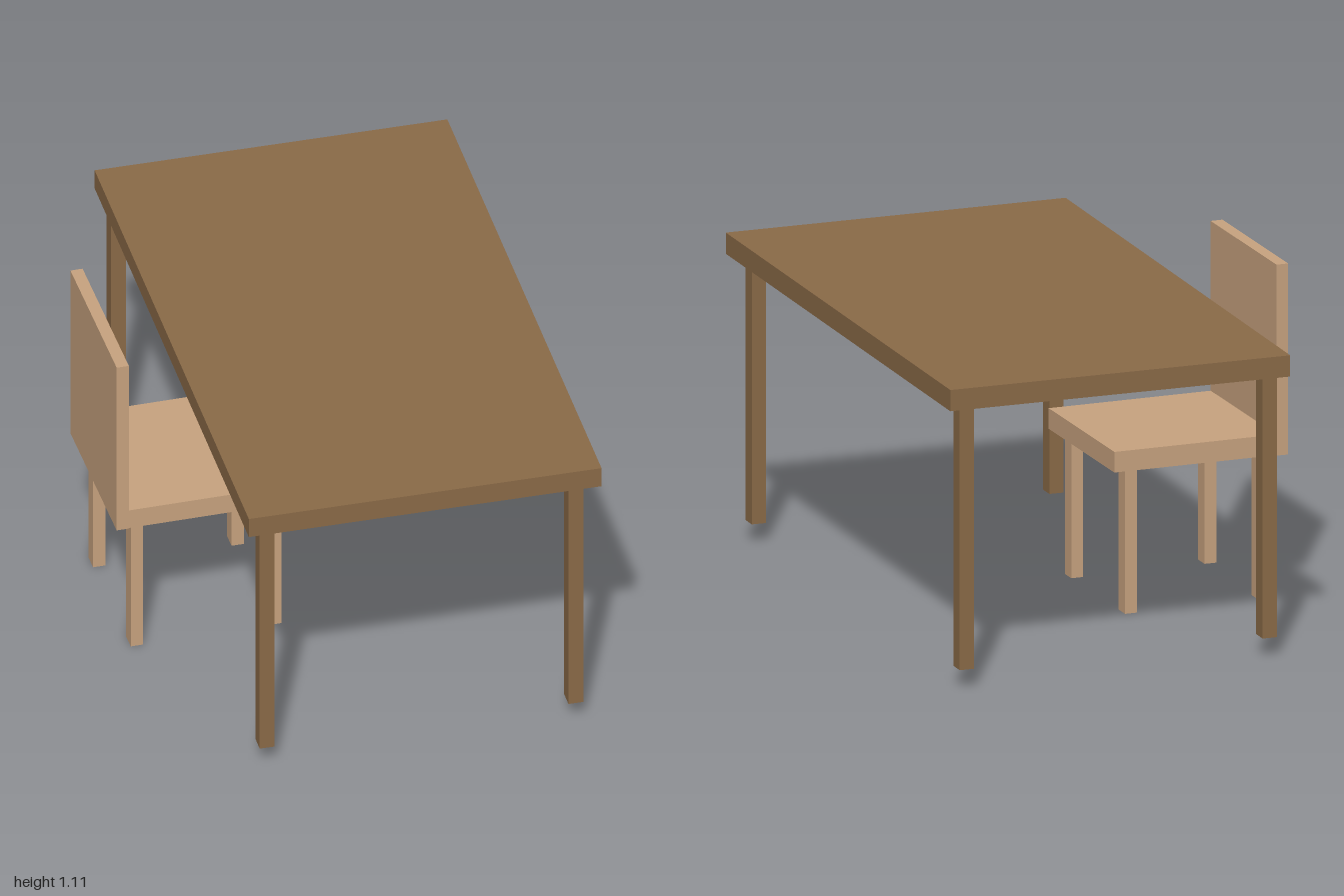
import * as THREE from 'three';

const darkWood = new THREE.MeshStandardMaterial({ color: 0x8b6b48 });
const lightWood = new THREE.MeshStandardMaterial({ color: 0xc9a480 });

// Box given by its size, centre in x and z, and bottom height
function addBox(parent, name, material, [w, h, d], x, bottom, z) {
  const mesh = new THREE.Mesh(new THREE.BoxGeometry(w, h, d), material);
  mesh.name = name;
  mesh.position.set(x, bottom + h / 2, z);
  parent.add(mesh);
}

function createTable() {
  const table = new THREE.Group();
  table.name = 'table';
  addBox(table, 'tableTop', darkWood, [1.156, 0.07, 2], 0.123, 0.93, 0);
  // Legs stand slightly out of line with each other
  const legs = [[-0.38, 0.913], [-0.401, -0.931], [0.632, 0.913], [0.632, -0.938]];
  for (const [x, z] of legs) {
    addBox(table, 'tableLeg', darkWood, [0.049, 0.868, 0.057], x, 0.063, z);
  }
  return table;
}

function createChair() {
  const chair = new THREE.Group();
  chair.name = 'chair';
  addBox(chair, 'chairSeat', lightWood, [0.555, 0.068, 0.56], 0.0095, 0.477, 0);
  addBox(chair, 'chairBack', lightWood, [0.04, 0.63, 0.56], -0.288, 0.475, 0);
  for (const x of [-0.235, 0.221]) {
    for (const z of [-0.228, 0.228]) {
      addBox(chair, 'chairLeg', lightWood, [0.04, 0.477, 0.056], x, 0, z);
    }
  }
  // Chair is turned a little towards the back of the table
  chair.position.set(-0.39, 0, -0.058);
  chair.rotation.y = 0.018;
  return chair;
}

export function createModel() {
  const model = new THREE.Group();
  model.name = 'tableAndChair';
  model.add(createTable(), createChair());
  return model;
}
